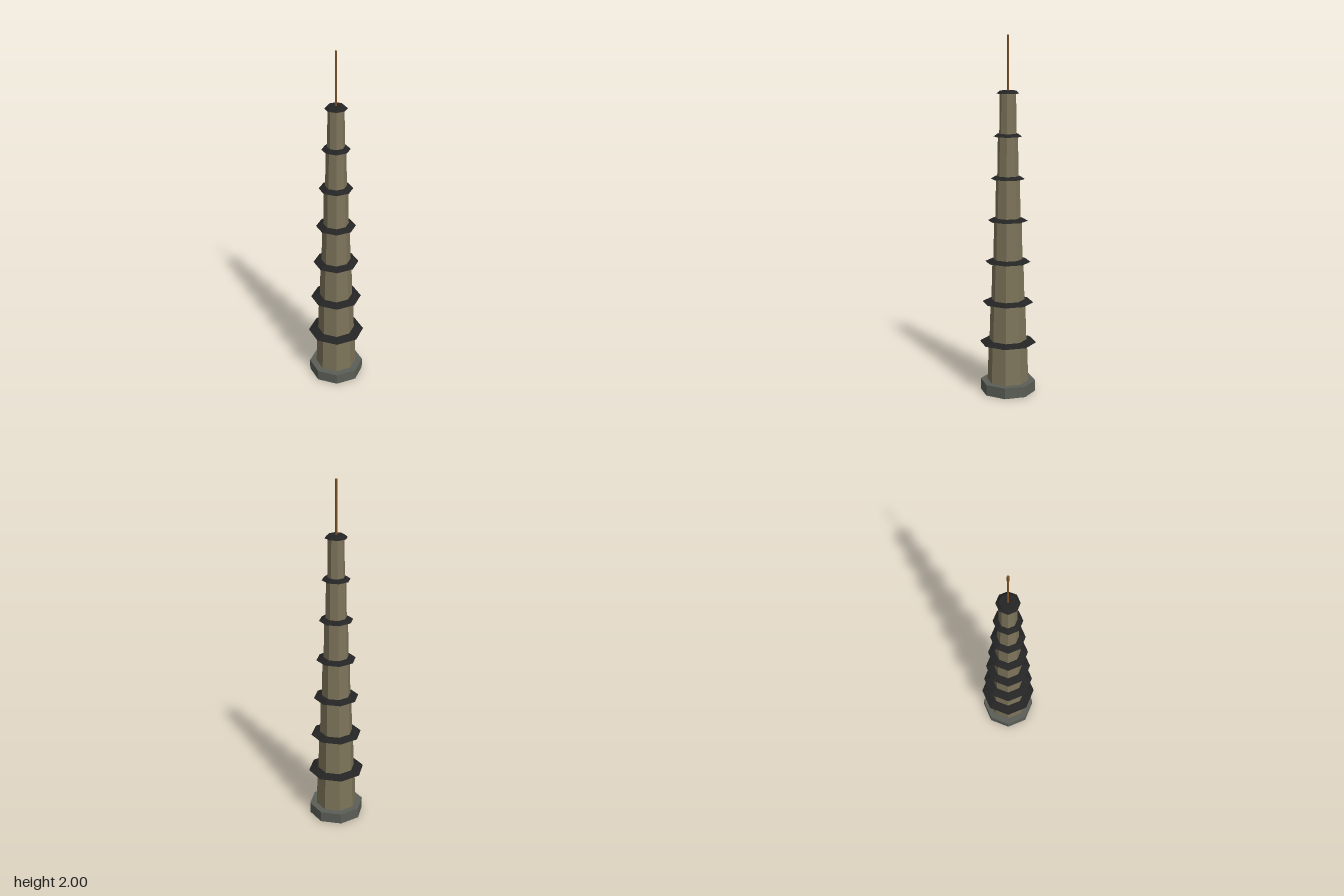
import * as THREE from 'three';

const material = (name, color) => {
  const m = new THREE.MeshStandardMaterial({ color, flatShading: true });
  m.name = name;
  return m;
};

export function createModel() {
  const tower = new THREE.Group();
  tower.name = 'pagodaTower';

  const stone = material('greyStone', 0x5a5e56);
  const brick = material('tanBrick', 0x7d745a);
  const tile = material('darkTile', 0x242424);
  const bronze = material('bronze', 0x7a4e22);

  // Upright prism or frustum standing at height y
  const frustum = (name, mat, rTop, rBottom, y, height, sides = 8) => {
    const geometry = new THREE.CylinderGeometry(rTop, rBottom, height, sides);
    geometry.translate(0, y + height / 2, 0);
    const mesh = new THREE.Mesh(geometry, mat);
    mesh.name = name;
    tower.add(mesh);
  };

  const baseHeight = 0.062;
  const storey = 0.2333;
  frustum('base', stone, 0.156, 0.156, 0, baseHeight);

  // Seven shrinking storeys, each under a shallow eave
  for (let i = 0; i < 7; i++) {
    const y = baseHeight + i * storey;
    const r = 0.117 - i * 0.0115;
    const eave = 0.16 - i * 0.0163;
    frustum('storey' + (i + 1), brick, r * 0.93, r, y, storey);
    frustum('eave' + (i + 1), tile, eave * 0.72, eave, y + storey - 0.008, 0.016);
  }

  // Finial pole
  frustum('spire', bronze, 0.006, 0.006, 1.695, 0.305, 6);

  return tower;
}
